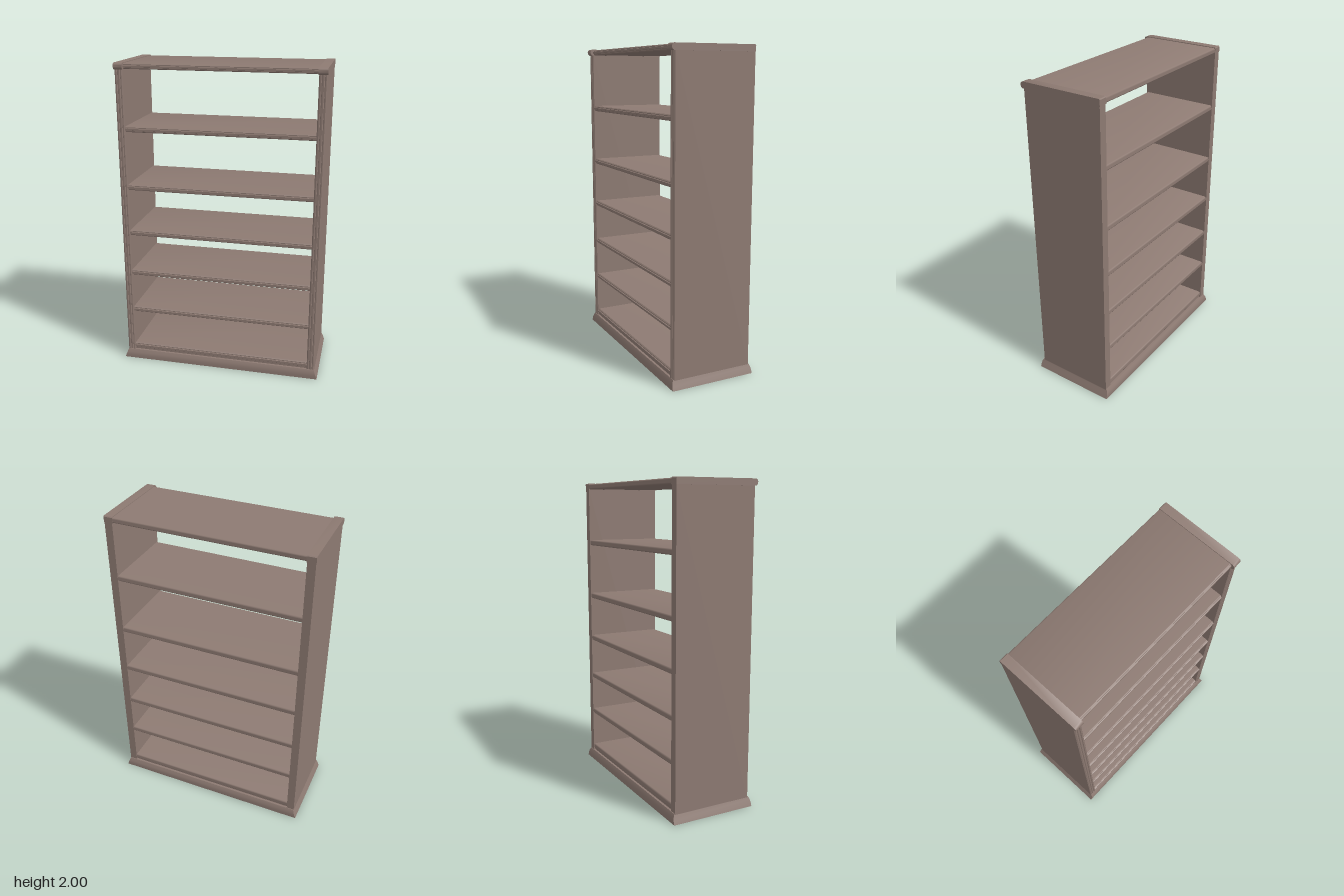
import * as THREE from 'three';
import { toCreasedNormals } from 'three/addons/utils/BufferGeometryUtils.js';

const wood = new THREE.MeshStandardMaterial({ color: 0x8d7a72 });
wood.name = 'brownWood';

// Extrude an outline and centre it along the extrusion
function extrude(points, depth) {
  const shape = new THREE.Shape(points.map(([x, y]) => new THREE.Vector2(x, y)));
  const g = new THREE.ExtrudeGeometry(shape, { depth, bevelEnabled: false });
  g.translate(0, 0, -depth / 2);
  return g;
}

// Board outline (z, y) with a rounded back edge and a moulded front edge
function boardOutline(back, front, h) {
  const r = h / 2;
  const pts = [
    [front - 0.012, -r], [front - 0.006, -r * 0.7], [front - 0.006, -r * 0.4],
    [front, -r * 0.3], [front, r * 0.3],
    [front - 0.006, r * 0.4], [front - 0.006, r * 0.7], [front - 0.012, r],
  ];
  for (let i = 0; i <= 6; i++) {
    const a = Math.PI / 2 + (Math.PI * i) / 6;
    pts.push([back + 0.01 + Math.cos(a) * 0.01, Math.sin(a) * r]);
  }
  return pts;
}

export function createModel() {
  const group = new THREE.Group();
  const add = (name, geometry, x = 0, y = 0, z = 0) => {
    const mesh = new THREE.Mesh(toCreasedNormals(geometry, 0.7), wood);
    mesh.name = name;
    mesh.position.set(x, y, z);
    group.add(mesh);
  };

  // Flared plinth: a box whose rows narrow upward
  const plinth = new THREE.BoxGeometry(2, 0.06, 2, 1, 3, 1);
  const halfX = [0.66, 0.653, 0.645, 0.638];
  const halfZ = [0.277, 0.277, 0.274, 0.264];
  const p = plinth.attributes.position;
  for (let i = 0; i < p.count; i++) {
    const row = Math.round((p.getY(i) + 0.03) / 0.02);
    p.setX(i, p.getX(i) * halfX[row]);
    p.setZ(i, p.getZ(i) * halfZ[row]);
  }
  add('plinth', plinth, 0, 0.03, 0);

  // Shelves, closer together towards the bottom
  const shelf = extrude(boardOutline(-0.258, 0.258, 0.036), 1.19).rotateY(-Math.PI / 2);
  [0.105, 0.38, 0.65, 0.93, 1.237, 1.612].forEach((top) => add('shelf', shelf, 0, top - 0.018, 0));
  add('bottomRail', new THREE.BoxGeometry(1.18, 0.016, 0.5), 0, 0.066, 0);
  const top = extrude(boardOutline(-0.262, 0.26, 0.034), 1.19).rotateY(-Math.PI / 2);
  add('topBoard', top, 0, 1.979, 0);

  // Side panels with a fluted front edge; outline is (x, -z)
  const side = extrude([
    [-0.025, 0.26], [-0.025, -0.256], [-0.019, -0.262], [-0.012, -0.262],
    [-0.009, -0.256], [-0.005, -0.262], [0.005, -0.262], [0.009, -0.256],
    [0.012, -0.262], [0.019, -0.262], [0.025, -0.256], [0.025, 0.26],
  ], 1.91).rotateX(-Math.PI / 2);

  // Rounded caps on the side panels; outline is (z, y)
  const cap = extrude([
    [-0.262, -0.02], [0.266, -0.02], [0.274, -0.014], [0.278, -0.005],
    [0.278, 0.006], [0.273, 0.015], [0.264, 0.02], [-0.257, 0.02], [-0.262, 0.015],
  ], 0.056).rotateY(-Math.PI / 2);

  for (const s of [-1, 1]) {
    add(s > 0 ? 'leftSide' : 'rightSide', side, s * 0.615, 1.01, 0);
    add(s > 0 ? 'leftCap' : 'rightCap', cap, s * 0.614, 1.98, 0);
  }
  return group;
}
